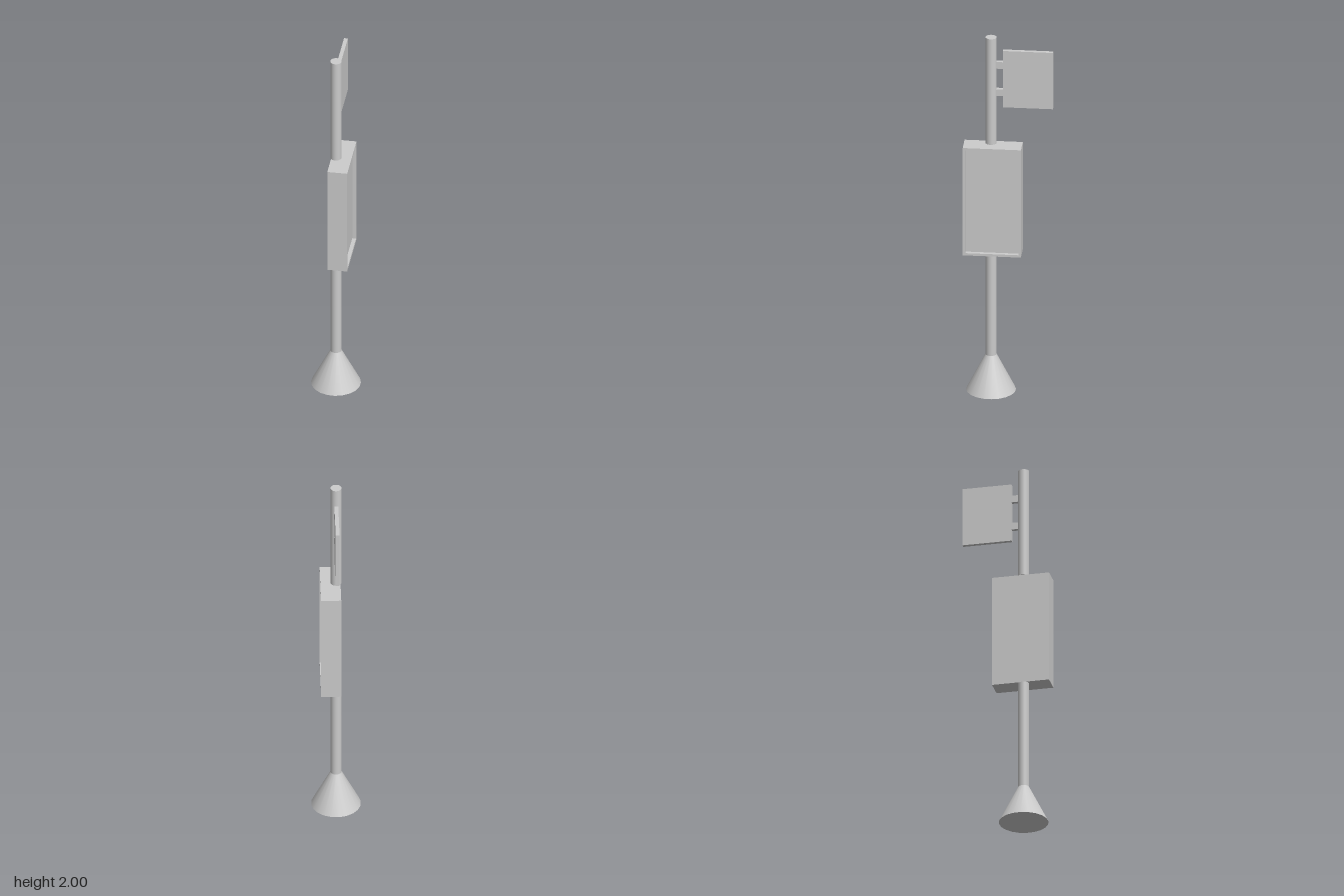
import * as THREE from 'three';

const material = new THREE.MeshStandardMaterial({ color: 0xcccccc });

function addMesh(parent, name, geometry, x, y, z) {
  const mesh = new THREE.Mesh(geometry, material);
  mesh.name = name;
  mesh.position.set(x, y, z);
  parent.add(mesh);
  return mesh;
}

function rectangle(PathType, w, h) {
  return new PathType([[-1, -1], [1, -1], [1, 1], [-1, 1]]
    .map(([sx, sy]) => new THREE.Vector2(sx * w / 2, sy * h / 2)));
}

export function createModel() {
  const model = new THREE.Group();
  model.name = 'infoPost';

  // Everything is laid out around the pole axis
  const post = new THREE.Group();
  post.name = 'post';
  post.position.set(0.014, 0, 0.074);
  model.add(post);

  const sides = 20, poleRadius = 0.029;
  const boxBottom = 0.79, boxTop = 1.4;

  // Conical foot
  addMesh(post, 'foot', new THREE.CylinderGeometry(poleRadius, 0.129, 0.2, sides), 0, 0.1, 0);

  // Pole, interrupted by the display case
  for (const [name, from, to] of [['lowerPole', 0.2, boxBottom], ['upperPole', boxTop, 2]]) {
    addMesh(post, name, new THREE.CylinderGeometry(poleRadius, poleRadius, to - from, sides),
      0, (from + to) / 2, 0);
  }

  // Turned head: local +x points to the flag sign, local +z to the screen side
  const head = new THREE.Group();
  head.name = 'head';
  head.rotation.y = THREE.MathUtils.degToRad(120);
  post.add(head);

  // Display case: solid back plus a raised frame around the screen
  const width = 0.302, height = boxTop - boxBottom, rim = 0.013, recess = 0.02;
  const back = -0.023, front = 0.081;
  const caseX = 0.0115, caseY = (boxBottom + boxTop) / 2;
  addMesh(head, 'displayCase', new THREE.BoxGeometry(width, height, front - recess - back),
    caseX, caseY, (back + front - recess) / 2);
  const frame = rectangle(THREE.Shape, width, height);
  frame.holes.push(rectangle(THREE.Path, width - 2 * rim, height - 2 * rim));
  addMesh(head, 'screenFrame',
    new THREE.ExtrudeGeometry(frame, { depth: recess, bevelEnabled: false }),
    caseX, caseY, front - recess);

  // Flag sign and its two brackets
  const signStart = 0.0625, signEnd = 0.322;
  addMesh(head, 'flagSign', new THREE.BoxGeometry(signEnd - signStart, 0.32, 0.02),
    (signStart + signEnd) / 2, 1.768, 0);
  for (const y of [1.69, 1.845]) {
    addMesh(head, 'signBracket', new THREE.BoxGeometry(signStart - 0.02, 0.038, 0.02),
      (signStart + 0.02) / 2, y, 0);
  }

  return model;
}
